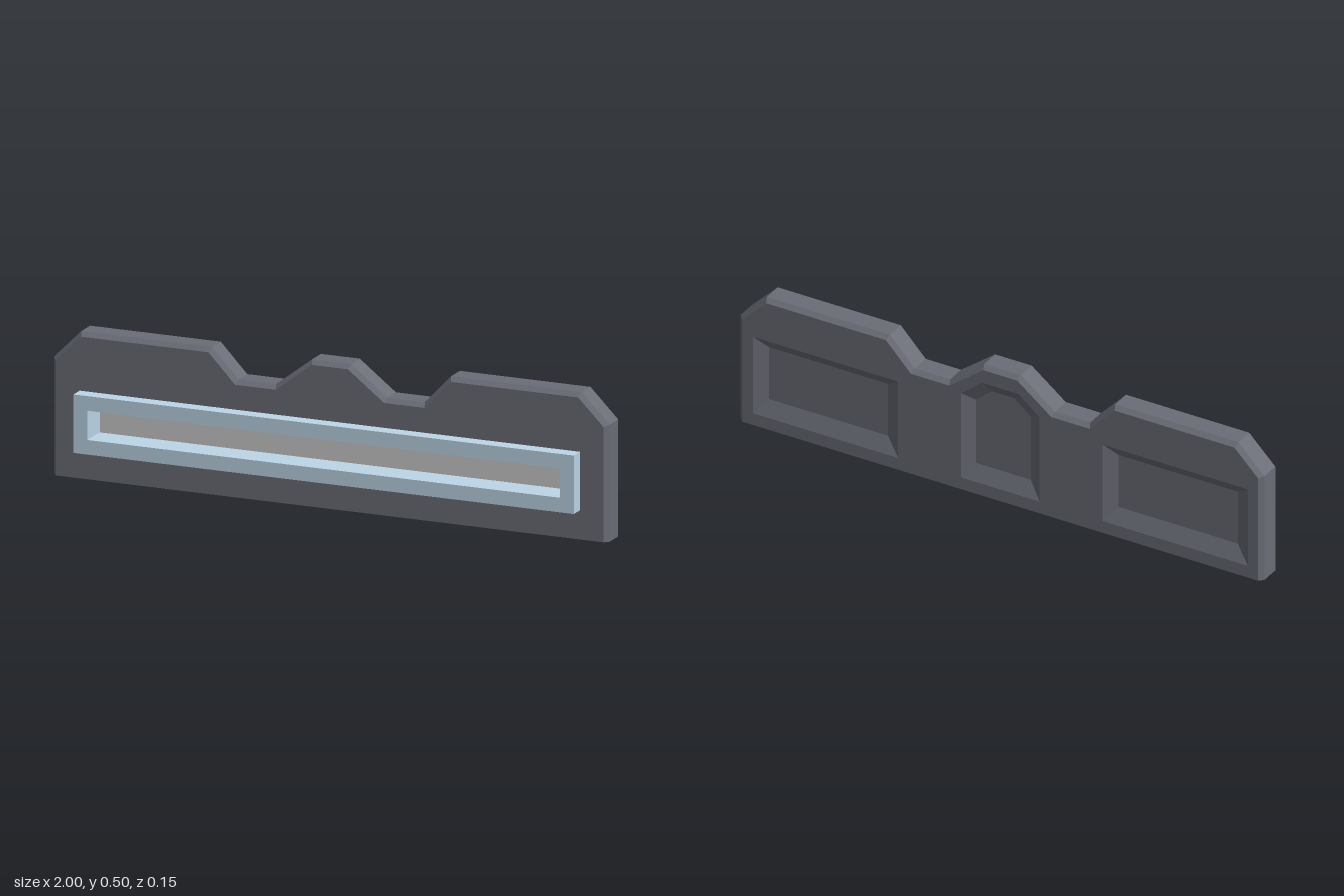
import * as THREE from 'three';
import { mergeGeometries } from 'three/addons/utils/BufferGeometryUtils.js';

const rect = (x, y0, y1) => [[-x, y0], [x, y0], [x, y1], [-x, y1]];
const mirrorX = pts => pts.map(([x, y]) => [-x, y]).reverse();
const vecs = pts => pts.map(([x, y]) => new THREE.Vector2(x, y));

// Flat face at depth z, with holes; flip makes it face -z
function face(pts, z, holes = [], flip = false) {
  const shape = new THREE.Shape(vecs(pts));
  holes.forEach(h => shape.holes.push(new THREE.Path(vecs(h))));
  const g = new THREE.ShapeGeometry(shape).toNonIndexed();
  g.deleteAttribute('uv');
  const p = g.attributes.position;
  if (flip) {
    for (let i = 0; i < p.count; i += 3) {
      const x = p.getX(i), y = p.getY(i);
      p.setXY(i, p.getX(i + 1), p.getY(i + 1));
      p.setXY(i + 1, x, y);
    }
  }
  g.translate(0, 0, z);
  g.computeVertexNormals();
  return g;
}

// Walls joining closed outlines, each given as [points, z]
function loft(rings) {
  const v = [];
  for (let k = 0; k + 1 < rings.length; k++) {
    const [p, zp] = rings[k], [q, zq] = rings[k + 1];
    p.forEach((a, i) => {
      const j = (i + 1) % p.length;
      const A = [...a, zp], B = [...p[j], zp], C = [...q[j], zq], D = [...q[i], zq];
      v.push(...A, ...D, ...C, ...A, ...C, ...B);
    });
  }
  const g = new THREE.BufferGeometry();
  g.setAttribute('position', new THREE.Float32BufferAttribute(v, 3));
  g.computeVertexNormals();
  return g;
}

// Move every edge inwards by its own distance dist(edgeIndex)
function inset(pts, dist) {
  const n = pts.length;
  const lines = pts.map((a, i) => {
    const b = pts[(i + 1) % n];
    const l = Math.hypot(b[0] - a[0], b[1] - a[1]);
    const nx = -(b[1] - a[1]) / l, ny = (b[0] - a[0]) / l;
    return [nx, ny, nx * a[0] + ny * a[1] + dist(i)];
  });
  return lines.map(([a, b, c], i) => {
    const [d, e, f] = lines[(i + n - 1) % n];
    const det = a * e - b * d;
    return [(c * e - b * f) / det, (a * f - c * d) / det];
  });
}

function mesh(name, parts, color) {
  const m = new THREE.Mesh(mergeGeometries(parts),
    new THREE.MeshStandardMaterial({ color, flatShading: true }));
  m.name = name;
  return m;
}

export function createModel() {
  const group = new THREE.Group();
  group.name = 'slottedPanel';
  const front = 0.025, back = -0.075, bevel = 0.015;

  // Notched outline; the bottom edge comes first and keeps no bevel
  const half = [[1, 0], [1, 0.4], [0.9, 0.5], [0.43, 0.5], [0.335, 0.4], [0.2, 0.4], [0.07, 0.5]];
  const outline = [[-1, 0], ...half, ...mirrorX(half).slice(0, -1)];
  const inner = inset(outline, i => (i === 0 ? 0 : bevel));

  // Slot in the front and sunken panels in the back
  const slot = rect(0.85, 0.15, 0.25);
  const side = [[0.39, 0.045], [0.945, 0.045], [0.945, 0.34], [0.39, 0.34]];
  const sideFloor = inset(side, i => [0.06, 0.05, 0.035, 0.05][i]);
  const arch = [[-0.15, 0.045], [0.15, 0.045], [0.15, 0.37], [0.07, 0.435], [-0.07, 0.435], [-0.15, 0.37]];
  const archFloor = inset(arch, i => (i === 0 ? 0.06 : i === 3 ? 0.035 : 0.045));
  const recesses = [
    [side, sideFloor],
    [mirrorX(side), mirrorX(sideFloor)],
    [arch, archFloor],
  ];
  const recessZ = back + 0.02;

  const body = [
    face(inner, front, [slot]),
    loft([[inner, front], [outline, front - bevel], [outline, back + bevel], [inner, back]]),
    face(inner, back, recesses.map(r => r[0]), true),
  ];
  recesses.forEach(([rim, floor]) => body.push(
    loft([[rim, back], [floor, recessZ]]),
    face(floor, recessZ, [], true)));
  group.add(mesh('body', body, 0x6b6d77));

  // Raised frame whose inner walls run down into the slot
  const rim = rect(0.9, 0.1, 0.3), rimZ = 0.075, floorZ = -0.025;
  group.add(mesh('slotFrame', [
    face(rim, rimZ, [slot]),
    loft([[rim, rimZ], [rim, front]]),
    loft([[slot, floorZ], [slot, rimZ]]),
  ], 0xbcd6e7));
  group.add(mesh('slotFloor', [face(slot, floorZ)], 0xcccccc));

  return group;
}
